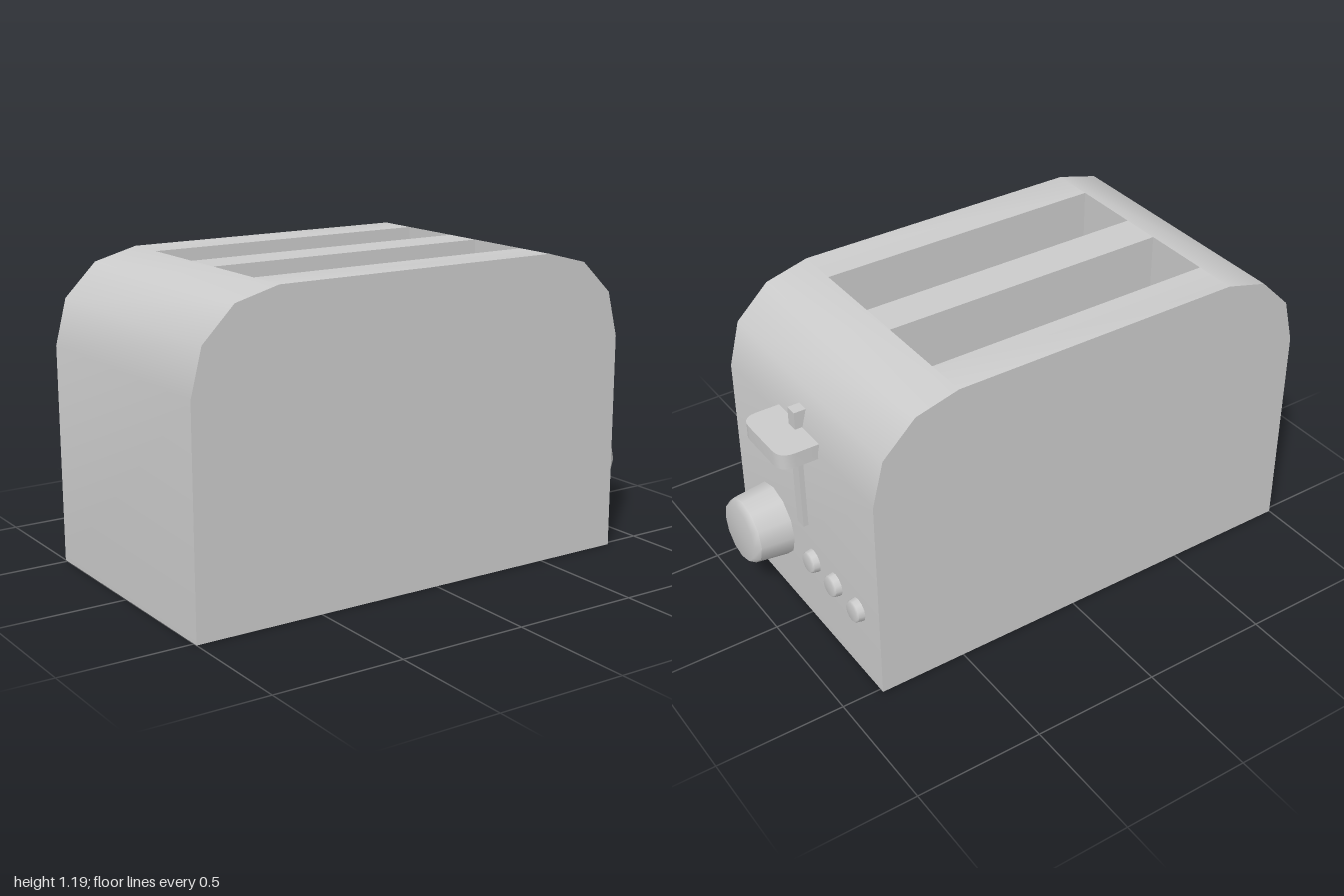
import * as THREE from 'three';
import { mergeGeometries, toCreasedNormals } from 'three/addons/utils/BufferGeometryUtils.js';

const material = new THREE.MeshStandardMaterial({ color: 0xcccccc, side: THREE.DoubleSide });
const HALF_DEPTH = 0.517, TOP = 1.185, SLOT_FLOOR = 0.26;
const SLOT_X = [-0.66, 0.5], SLOT_Z = [0.078, 0.352];

// Shell outline, counter-clockwise from the lower right corner
const outline = [
  [0.845, 0], [0.845, 0.84], [0.8, 1.015], [0.67, 1.14], [SLOT_X[1], TOP],
  [SLOT_X[0], TOP], [-0.83, 1.14], [-0.955, 1.015], [-1, 0.84], [-1, 0],
];

function addMesh(parent, name, geometry) {
  const mesh = new THREE.Mesh(geometry, material);
  mesh.name = name;
  parent.add(mesh);
  return mesh;
}

// Rectangle swept from z0 to z1 between two outline points, facing outwards
function panel(a, b, z0, z1) {
  const g = new THREE.PlaneGeometry(1, 1);
  [[b, z1], [b, z0], [a, z1], [a, z0]].forEach(([p, z], i) =>
    g.attributes.position.setXYZ(i, p[0], p[1], z));
  return g;
}

// Flat end wall of the shell
function endWall(mirror) {
  const pts = outline.map(([x, y]) => new THREE.Vector2(x * mirror, y));
  return new THREE.ShapeGeometry(new THREE.Shape(pts));
}

function shellGeometry() {
  const parts = [
    endWall(1).translate(0, 0, HALF_DEPTH),
    endWall(-1).rotateY(Math.PI).translate(0, 0, -HALF_DEPTH),
  ];
  for (let i = 0; i < outline.length - 1; i++) {
    const a = outline[i], b = outline[i + 1];
    // The flat top is three strips that leave the two slots open
    const strips = a[1] === TOP && b[1] === TOP
      ? [[-HALF_DEPTH, -SLOT_Z[1]], [-SLOT_Z[0], SLOT_Z[0]], [SLOT_Z[1], HALF_DEPTH]]
      : [[-HALF_DEPTH, HALF_DEPTH]];
    for (const [z0, z1] of strips) parts.push(panel(a, b, z0, z1));
  }
  return toCreasedNormals(mergeGeometries(parts), 0.7);
}

// Bread well: a box without its upper face
function wellGeometry() {
  const g = new THREE.BoxGeometry(SLOT_X[1] - SLOT_X[0], TOP - SLOT_FLOOR, SLOT_Z[1] - SLOT_Z[0]);
  const index = Array.from(g.index.array);
  index.splice(12, 6);
  g.setIndex(index);
  g.clearGroups();
  return g;
}

// Turned control pointing along +x: tapered side and bevelled cap
function control(name, y, z, x0, x1, x2, r0, r1, r2) {
  const group = new THREE.Group();
  group.name = name;
  const turn = (pts) => new THREE.LatheGeometry(
    pts.map(([r, h]) => new THREE.Vector2(r, h)), 12).rotateZ(-Math.PI / 2);
  addMesh(group, name + 'Side', turn([[r0, x0], [r1, x1]]));
  addMesh(group, name + 'Cap', turn([[r1, x1], [r2, x2], [0, x2]]));
  group.position.set(0, y, z);
  return group;
}

// Lever handle: flat plate with rounded outer corners
function handleGeometry() {
  const x0 = 0.838, x1 = 0.99, w = 0.145, r = 0.06;
  const s = new THREE.Shape();
  s.moveTo(x0, -w);
  s.lineTo(x1 - r, -w);
  s.quadraticCurveTo(x1, -w, x1, -w + r);
  s.lineTo(x1, w - r);
  s.quadraticCurveTo(x1, w, x1 - r, w);
  s.lineTo(x0, w);
  s.closePath();
  const g = new THREE.ExtrudeGeometry(s, { depth: 0.06, bevelEnabled: false, curveSegments: 5 });
  return toCreasedNormals(g.rotateX(-Math.PI / 2).translate(0, 0.815, 0), 0.6);
}

export function createModel() {
  const model = new THREE.Group();
  model.name = 'toaster';

  // Body, open underneath
  addMesh(model, 'shell', shellGeometry());
  for (const side of [1, -1]) {
    addMesh(model, side > 0 ? 'frontBreadWell' : 'backBreadWell', wellGeometry()).position.set(
      (SLOT_X[0] + SLOT_X[1]) / 2, (TOP + SLOT_FLOOR) / 2, side * (SLOT_Z[0] + SLOT_Z[1]) / 2);
  }

  // Lever
  addMesh(model, 'leverRail', new THREE.BoxGeometry(0.048, 0.505, 0.047)).position.set(0.841, 0.692, 0);
  addMesh(model, 'leverHandle', handleGeometry());

  // Dial and buttons
  model.add(control('dial', 0.29, 0.25, 0.84, 0.975, 1, 0.147, 0.132, 0.116));
  [-0.05, -0.21, -0.372].forEach((z, i) =>
    model.add(control('button' + (i + 1), 0.29, z, 0.84, 0.868, 0.876, 0.047, 0.042, 0.037)));

  return model;
}
